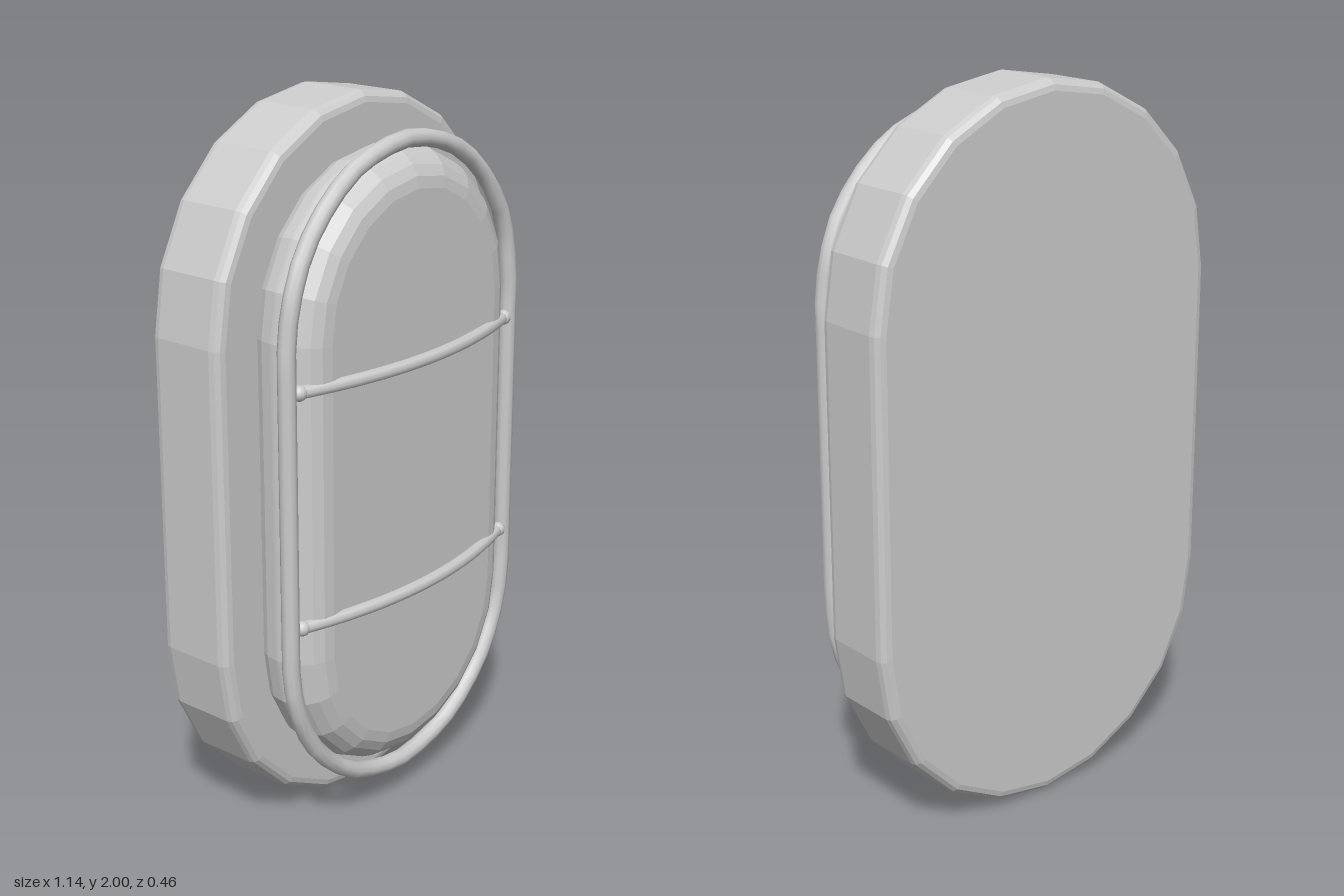
import * as THREE from 'three';

const HALF = 0.43; // half length of the straight sides
const MID = 1.0;   // height of the centre

// Points of a pill outline with radius r, n steps per rounded end
function pill(r, n) {
  const pts = [];
  for (const end of [0, 1]) {
    for (let i = 0; i <= n; i++) {
      const a = Math.PI * (end + i / n);
      pts.push(new THREE.Vector2(r * Math.cos(a), MID + (end ? -HALF : HALF) + r * Math.sin(a)));
    }
  }
  return pts;
}

// Pill-shaped slab with rounded rims between z0 and z1
function slab(name, r, z0, z1, bevelSize, bevelThickness, bevelSegments, material) {
  const geometry = new THREE.ExtrudeGeometry(new THREE.Shape(pill(r - bevelSize, 10)), {
    depth: z1 - z0 - 2 * bevelThickness, steps: 1,
    bevelEnabled: true, bevelSize, bevelThickness, bevelSegments,
  });
  geometry.translate(0, 0, z0 + bevelThickness);
  const mesh = new THREE.Mesh(geometry, material);
  mesh.name = name;
  return mesh;
}

export function createModel() {
  const group = new THREE.Group();
  group.name = 'bulkheadLamp';
  const grey = new THREE.MeshStandardMaterial({ color: 0xcccccc });
  grey.name = 'light grey';

  // Wall housing and domed lens
  group.add(slab('housing', 0.57, -0.232, 0.003, 0.03, 0.03, 3, grey));
  group.add(slab('lens', 0.44, -0.05, 0.178, 0.1, 0.11, 5, grey));

  // Round ring around the lens
  const path = new THREE.CurvePath();
  const pts = pill(0.463, 14).map((p) => new THREE.Vector3(p.x, p.y, 0.135));
  pts.forEach((p, i) => path.add(new THREE.LineCurve3(p, pts[(i + 1) % pts.length])));
  const ring = new THREE.Mesh(new THREE.TubeGeometry(path, 64, 0.024, 10, true), grey);
  ring.name = 'guardRing';
  group.add(ring);

  // Two bowed guard bars with rounded ends
  for (const y of [0.68, 1.325]) {
    const guard = new THREE.Group();
    guard.name = 'guardBar';
    const bow = new THREE.QuadraticBezierCurve3(
      new THREE.Vector3(-0.43, y, 0.143),
      new THREE.Vector3(0, y, 0.285),
      new THREE.Vector3(0.43, y, 0.143));
    const bar = new THREE.Mesh(new THREE.TubeGeometry(bow, 20, 0.018, 8), grey);
    bar.name = 'bar';
    guard.add(bar);
    for (const side of [-1, 1]) {
      const tip = new THREE.Mesh(new THREE.SphereGeometry(0.021, 10, 8), grey);
      tip.name = side > 0 ? 'leftBarEnd' : 'rightBarEnd';
      tip.position.set(side * 0.43, y, 0.146);
      guard.add(tip);
    }
    group.add(guard);
  }
  return group;
}
